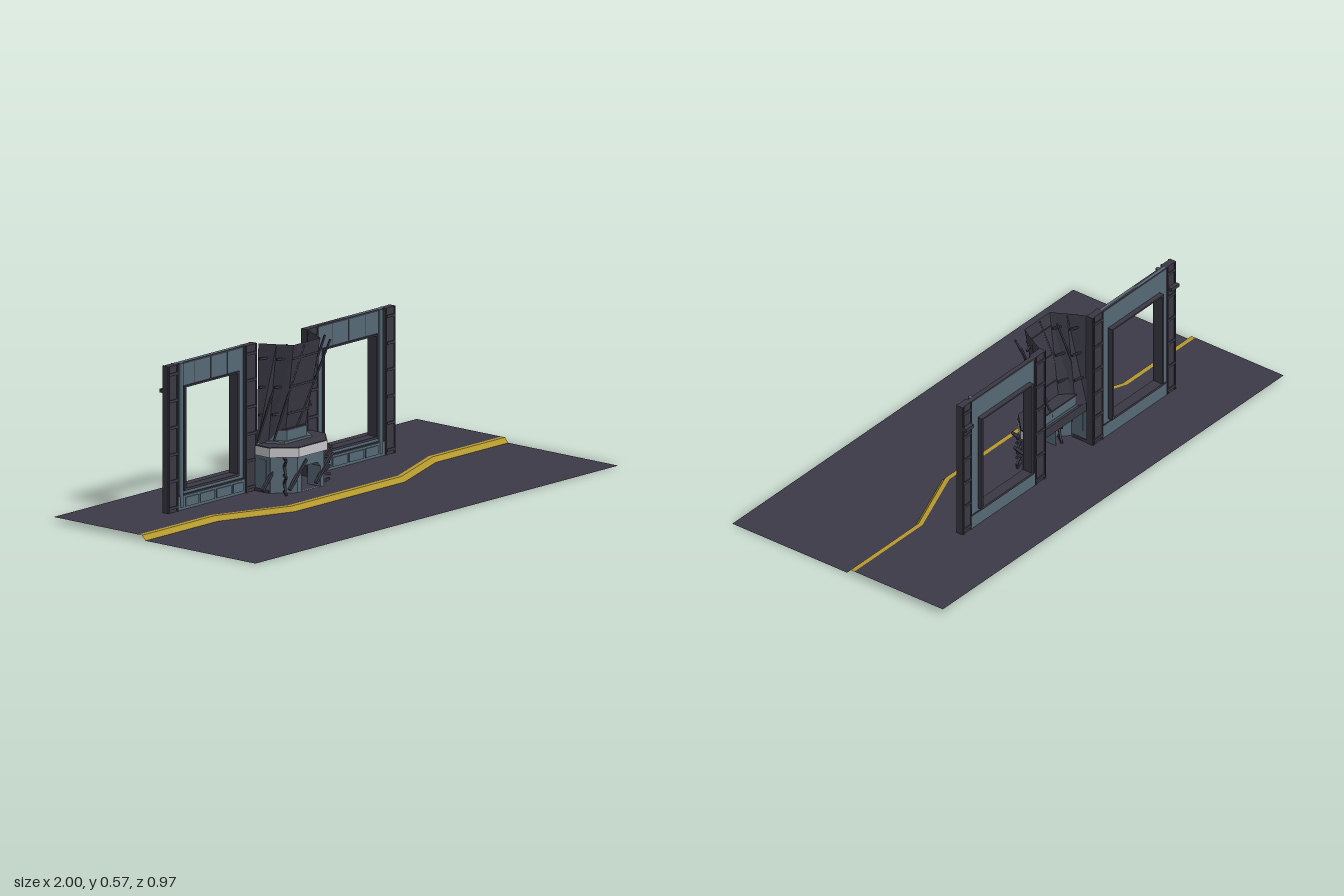
import * as THREE from 'three';

const mat = (name, color, side = THREE.FrontSide) => {
  const m = new THREE.MeshStandardMaterial({ color, side });
  m.name = name;
  return m;
};

export function createModel() {
  const D = THREE.DoubleSide;
  const floorGrey = mat('floorGrey', 0x3b3a46, D);
  const darkMetal = mat('darkMetal', 0x393843, D);
  const blueSteel = mat('blueSteel', 0x566874, D);
  const paleTrim = mat('paleTrim', 0xc4c4c6, D);
  const yellow = mat('warningYellow', 0xb4982e, D);

  const root = new THREE.Group();
  const station = new THREE.Group();
  station.name = 'station';
  station.position.x = -0.063;
  root.add(station);

  const add = (parent, name, geo, material) => {
    const m = new THREE.Mesh(geo, material);
    m.name = name;
    parent.add(m);
    return m;
  };
  // box given by its minimum and maximum limits
  const box = (parent, name, material, x0, x1, y0, y1, z0, z1) => {
    const g = new THREE.BoxGeometry(x1 - x0, y1 - y0, z1 - z0);
    g.translate((x0 + x1) / 2, (y0 + y1) / 2, (z0 + z1) / 2);
    return add(parent, name, g, material);
  };
  // flat-shaded surface spanned between successive rows of points
  const sheet = (parent, name, material, rows) => {
    const p = [];
    for (let r = 0; r < rows.length - 1; r++)
      for (let i = 0; i < rows[r].length - 1; i++) {
        const a = rows[r][i], b = rows[r][i + 1], c = rows[r + 1][i + 1], d = rows[r + 1][i];
        p.push(...a, ...b, ...c, ...a, ...c, ...d);
      }
    const g = new THREE.BufferGeometry();
    g.setAttribute('position', new THREE.Float32BufferAttribute(p, 3));
    g.computeVertexNormals();
    return add(parent, name, g, material);
  };
  // square bar between two points
  const bar = (parent, name, material, a, b, w) => {
    const va = new THREE.Vector3(...a), vb = new THREE.Vector3(...b);
    const m = add(parent, name, new THREE.BoxGeometry(w, w, va.distanceTo(vb)), material);
    m.position.copy(va).lerp(vb, 0.5);
    m.lookAt(vb);
    return m;
  };
  const rect = (C, x0, x1, y0, y1) => {
    const s = new C();
    s.moveTo(x0, y0); s.lineTo(x1, y0); s.lineTo(x1, y1); s.lineTo(x0, y1); s.closePath();
    return s;
  };
  const extrude = (shape, z0, z1) => {
    const g = new THREE.ExtrudeGeometry(shape, { depth: z1 - z0, bevelEnabled: false });
    g.translate(0, 0, z0);
    return g;
  };
  // horizontal prism from an [x, z] outline
  const prism = (outline, y0, y1) => {
    const s = new THREE.Shape(outline.map(([x, z]) => new THREE.Vector2(x, -z)));
    const g = new THREE.ExtrudeGeometry(s, { depth: y1 - y0, bevelEnabled: false });
    g.rotateX(-Math.PI / 2);
    g.translate(0, y0, 0);
    return g;
  };
  const mirrored = (half) => [...half.map(([x, z]) => [-x, z]), ...half.slice().reverse()];

  // Floor on two levels, joined by a yellow step
  const F = 0.018, E = 0.487;
  const path = [[-1, -0.06], [-0.6, -0.06], [-0.305, 0.053], [0.3, 0.053], [0.6, -0.06], [1, -0.06]];
  const row = (y, dz) => path.map(([x, z]) => [x, y, z + dz]);
  const edge = (y, z) => path.map(([x]) => [x, y, z]);
  sheet(root, 'lowerFloor', floorGrey, [edge(0, E), row(0, 0.016)]);
  sheet(root, 'upperFloor', floorGrey, [row(F, -0.018), edge(F, -E)]);
  sheet(root, 'yellowStep', yellow, [row(0, 0.016), row(F, 0), row(F, -0.018)]);

  // Window walls and pilasters, one bay per side
  const TOP = 0.567;
  for (const s of [1, -1]) {
    const bay = new THREE.Group();
    bay.name = s > 0 ? 'leftWindowBay' : 'rightWindowBay';
    station.add(bay);
    const bx = (name, m, x0, x1, ...r) =>
      box(bay, name, m, Math.min(s * x0, s * x1), Math.max(s * x0, s * x1), ...r);

    const span = (a, b) => (s > 0 ? [a, b] : [-b, -a]);
    const wall = rect(THREE.Shape, ...span(0.2, 0.57), F, TOP);
    wall.holes.push(rect(THREE.Path, ...span(0.237, 0.527), 0.091, 0.478));
    add(bay, 'windowWall', extrude(wall, -0.231, -0.216), blueSteel);

    const frame = rect(THREE.Shape, ...span(0.231, 0.533), 0.086, 0.478);
    frame.holes.push(rect(THREE.Path, ...span(0.24, 0.524), 0.095, 0.472));
    add(bay, 'windowFrame', extrude(frame, -0.251, -0.208), darkMetal);

    // plinth with raised panels
    bx('plinth', blueSteel, 0.202, 0.57, F, 0.07, -0.234, -0.208);
    for (const [a, b] of [[0.215, 0.27], [0.28, 0.36], [0.37, 0.45], [0.46, 0.53]])
      bx('plinthPanel', blueSteel, a, b, 0.028, 0.062, -0.208, -0.204);
    bx('plinthGroove', darkMetal, 0.202, 0.57, 0.07, 0.074, -0.233, -0.212);

    // header seams
    for (const x of [0.29, 0.38, 0.47])
      bx('headerSeam', darkMetal, x - 0.001, x + 0.001, 0.48, TOP, -0.216, -0.215);
    bx('headerLip', darkMetal, 0.2, 0.57, 0.56, TOP, -0.233, -0.214);

    // pipe beside the outer pilaster
    const pipe = add(bay, 'wallPipe', new THREE.CylinderGeometry(0.008, 0.008, TOP - 0.028, 10), blueSteel);
    pipe.position.set(s * 0.55, (TOP + 0.028) / 2, -0.21);

    // pilasters with cross ribs
    for (const [name, a, b] of [['outerPilaster', 0.57, 0.627], ['innerPilaster', 0.137, 0.202]]) {
      bx(name, darkMetal, a, b, F, TOP, -0.233, -0.206);
      for (const y of [0.03, 0.13, 0.23, 0.33, 0.43, 0.53])
        bx(name + 'Rib', darkMetal, a + 0.006, b - 0.006, y, y + 0.01, -0.237, -0.202);
      for (const x of [a + 0.004, b - 0.01])
        bx(name + 'Flange', darkMetal, x, x + 0.006, F, TOP, -0.236, -0.203);
    }
    bx('pilasterBracket', darkMetal, 0.58, 0.625, 0.465, 0.478, -0.25, -0.233);
  }

  // Faceted column that leans forward towards the top
  const low = mirrored([[0.137, -0.206], [0.095, -0.188], [0.052, -0.148]]);
  const high = mirrored([[0.137, -0.2], [0.105, -0.14], [0.074, -0.085]]);
  const Y0 = 0.19;
  const at = (y, out = 0) => {
    const t = (y - Y0) / (TOP - Y0);
    return low.map(([x, z], i) => [
      (x + (high[i][0] - x) * t), y, z + (high[i][1] - z) * t + out]);
  };
  const column = new THREE.Group();
  column.name = 'leaningColumn';
  station.add(column);
  sheet(column, 'columnShell', darkMetal, [at(Y0), at(TOP)]);
  for (const y of [0.3, 0.405, 0.513]) {
    const pts = at(y);
    for (let i = 0; i < pts.length - 1; i++) bar(column, 'columnRib', darkMetal, pts[i], pts[i + 1], 0.007);
  }
  for (let i = 1; i < 5; i++) bar(column, 'columnEdge', darkMetal, at(0.2)[i], at(TOP - 0.003)[i], 0.006);

  // Pedestal under the column
  add(station, 'pedestal', prism(mirrored([[0.095, -0.187], [0.056, -0.133]]), 0.187, 0.236), blueSteel);
  add(station, 'pedestalCap', prism(mirrored([[0.1, -0.19], [0.06, -0.13]]), 0.236, 0.242), darkMetal);
  add(station, 'pedestalFoot', prism(mirrored([[0.11, -0.19], [0.075, -0.127]]), 0.187, 0.198), blueSteel);

  // Counter: dark top with a pale rim
  const rim = [[0.155, -0.2], [0.155, -0.13], [0.078, -0.054]];
  add(station, 'counterTop', prism(mirrored([[0.152, -0.2], [0.152, -0.131], [0.076, -0.057]]), 0.153, 0.19), darkMetal);
  const rimRow = (y) => mirrored(rim).map(([x, z]) => [x, y, z]);
  sheet(station, 'counterRim', paleTrim, [rimRow(0.153), rimRow(0.187)]);

  // Counter base with an arched opening
  const base = new THREE.Group();
  base.name = 'counterBase';
  station.add(base);
  const front = rect(THREE.Shape, -0.073, 0.073, F, 0.153);
  const arch = [[-0.053, F + 0.0005], [0.053, F + 0.0005], [0.053, 0.095], [0.036, 0.112], [-0.036, 0.112], [-0.053, 0.095]];
  front.holes.push(new THREE.Path(arch.map((p) => new THREE.Vector2(...p))));
  add(base, 'archPanel', extrude(front, -0.075, -0.066), blueSteel);
  const archRow = (z) => [1, 2, 3, 4, 5, 0].map((i) => [...arch[i], z]);
  sheet(base, 'archTunnel', blueSteel, [archRow(-0.07), archRow(-0.13)]);

  for (const s of [1, -1]) {
    const P = (x, y, z) => [s * x, y, z];
    // chamfered corner with a crossed brace
    const a = [0.073, -0.066], b = [0.145, -0.133];
    const c = (p, y) => P(p[0], y, p[1]);
    sheet(base, 'cornerPanel', blueSteel, [[c(a, F), c(b, F)], [c(a, 0.153), c(b, 0.153)]]);
    for (const p of [a, b]) bar(base, 'cornerPost', darkMetal, c(p, F), c(p, 0.153), 0.011);
    for (const y of [0.023, 0.085, 0.148]) bar(base, 'cornerRail', darkMetal, c(a, y), c(b, y), 0.008);
    for (const [y0, y1] of [[0.023, 0.085], [0.085, 0.148]]) {
      bar(base, 'crossBrace', darkMetal, c(a, y0), c(b, y1), 0.008);
      bar(base, 'crossBrace', darkMetal, c(a, y1), c(b, y0), 0.008);
    }
    // side wall with a raised panel
    const x = s * 0.145;
    box(base, 'sidePanel', blueSteel, x - 0.004, x + 0.004, F, 0.153, -0.206, -0.133);
    box(base, 'sideInset', blueSteel, x - 0.006, x + 0.006, 0.06, 0.14, -0.185, -0.15);
    box(base, 'sideSkirt', darkMetal, x - 0.006, x + 0.006, F, 0.03, -0.206, -0.138);
  }
  return root;
}
